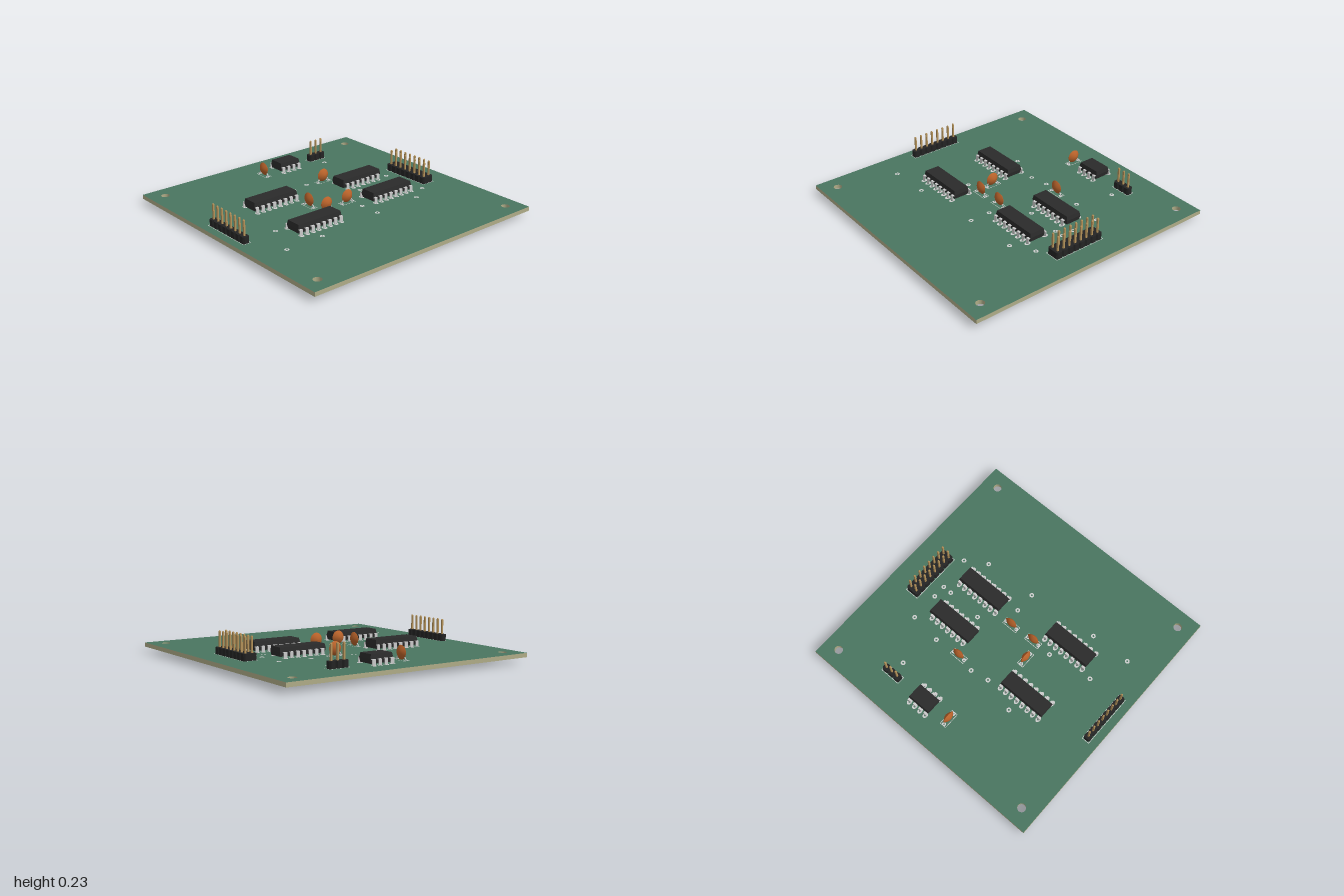
import * as THREE from 'three';
import { mergeGeometries } from 'three/addons/utils/BufferGeometryUtils.js';

const BOTTOM = 0.037, TOP = 0.068, PITCH = 0.0508;
const mat = (color, extra = {}) => new THREE.MeshStandardMaterial({ color, ...extra });
const green = mat(0x4a7560), edge = mat(0xb0ad88), black = mat(0x2b2b2b, { flatShading: true });
const housing = mat(0x242424), gold = mat(0xb5935a), orange = mat(0xb8622a);
const metal = mat(0xcccccc), print = mat(0xcccccc, { side: THREE.DoubleSide });

function add(parent, name, geometry, material) {
  const mesh = new THREE.Mesh(geometry, material);
  mesh.name = name;
  parent.add(mesh);
  return mesh;
}

function place(parent, name, x, z, turn = 0) {
  const group = new THREE.Group();
  group.name = name;
  group.position.set(x, 0, z);
  group.rotation.y = turn;
  parent.add(group);
  return group;
}

function box(w, h, d, x, y, z) {
  return new THREE.BoxGeometry(w, h, d).translate(x, y, z);
}

// Rectangle centred on the origin, with optional cut corners
function rectShape(w, d, cut = 0) {
  const a = w / 2, b = d / 2, c = cut;
  const points = c
    ? [[-a + c, -b], [a - c, -b], [a, -b + c], [a, b - c], [a - c, b], [-a + c, b], [-a, b - c], [-a, -b + c]]
    : [[-a, -b], [a, -b], [a, b], [-a, b]];
  return new THREE.Shape(points.map(([x, y]) => new THREE.Vector2(x, y)));
}

// Flat copper rings on both faces of the board
function pads(x, z, radius, hole, stretch = 1) {
  const ring = () => new THREE.RingGeometry(hole, radius, 20).scale(stretch, 1, 1);
  return [
    ring().rotateX(-Math.PI / 2).translate(x, TOP + 0.001, z),
    ring().rotateX(Math.PI / 2).translate(x, BOTTOM - 0.001, z),
  ];
}

// Thin printed rectangle around a component
function outline(parent, w, d) {
  const shape = rectShape(w, d);
  shape.holes.push(rectShape(w - 0.008, d - 0.008));
  const g = new THREE.ShapeGeometry(shape).rotateX(-Math.PI / 2).translate(0, TOP + 0.0012, 0);
  add(parent, 'printedOutline', g, print);
}

function addBoard(root) {
  const shape = rectShape(2, 2);
  for (const x of [-0.88, 0.88]) for (const y of [-0.88, 0.88]) {
    const hole = new THREE.Path();
    hole.absarc(x, y, 0.031, 0, Math.PI * 2, true);
    shape.holes.push(hole);
  }
  const g = new THREE.ExtrudeGeometry(shape, { depth: TOP - BOTTOM, bevelEnabled: false, curveSegments: 24 });
  add(root, 'board', g.rotateX(-Math.PI / 2).translate(0, BOTTOM, 0), [green, edge]);
}

// Dual in-line chip: tapered body and two rows of bent legs
function addChip(root, x, z, rows, length) {
  const chip = place(root, 'chip', x, z);
  const body = new THREE.BoxGeometry(0.126, 0.064, length, 1, 2, 1);
  const p = body.attributes.position;
  for (let i = 0; i < p.count; i++) {
    if (Math.abs(p.getY(i)) > 0.01) {
      p.setX(i, p.getX(i) - Math.sign(p.getX(i)) * 0.006);
      p.setZ(i, p.getZ(i) - Math.sign(p.getZ(i)) * 0.006);
    }
  }
  body.computeVertexNormals();
  add(chip, 'chipBody', body.translate(0, 0.111, 0), black);

  const legs = [], rings = [];
  for (let i = 0; i < rows; i++) {
    const pz = (i - (rows - 1) / 2) * PITCH;
    for (const s of [-1, 1]) {
      legs.push(
        box(0.022, 0.005, 0.026, s * 0.0685, 0.109, pz),
        box(0.005, 0.042, 0.026, s * 0.077, 0.0905, pz),
        box(0.005, 0.07, 0.01, s * 0.077, 0.035, pz));
      rings.push(...pads(s * 0.077, pz, 0.017, 0.007, 1.4));
    }
  }
  add(chip, 'chipLegs', mergeGeometries(legs), metal);
  add(chip, 'chipPads', mergeGeometries(rings), metal);
}

// Pin header: one notched block per column, with square pins through the board
function addHeader(root, x, z, columns, rows, turn = 0) {
  const header = place(root, 'pinHeader', x, z, turn);
  const blocks = [], pins = [], rings = [];
  const depth = rows * PITCH;
  for (let i = 0; i < columns; i++) {
    const px = (i - (columns - 1) / 2) * PITCH;
    const shape = rectShape(PITCH, depth, 0.01);
    const g = new THREE.ExtrudeGeometry(shape, { depth: 0.05, bevelEnabled: false });
    blocks.push(g.rotateX(-Math.PI / 2).translate(px, TOP, 0));
    for (let j = 0; j < rows; j++) {
      const pz = (j - (rows - 1) / 2) * PITCH;
      pins.push(box(0.0125, 0.215, 0.0125, px, 0.1205, pz));
      // Tapered tips at both ends
      for (const s of [-1, 1]) {
        const tip = new THREE.CylinderGeometry(s > 0 ? 0.004 : 0.0088, s > 0 ? 0.0088 : 0.004, 0.007, 4);
        pins.push(tip.rotateY(Math.PI / 4).translate(px, 0.1205 + s * 0.111, pz));
      }
      rings.push(...pads(px, pz, 0.017, 0.008));
    }
  }
  add(header, 'headerHousing', mergeGeometries(blocks), housing);
  add(header, 'headerPins', mergeGeometries(pins), gold);
  add(header, 'headerPads', mergeGeometries(rings), gold);
  outline(header, columns * PITCH + 0.012, depth + 0.012);
}

// Disc capacitor: lens-shaped body standing on two bent leads
function addCapacitor(root, x, z, turn) {
  const cap = place(root, 'capacitor', x, z, turn);
  const profile = [];
  for (let i = 0; i <= 16; i++) {
    const t = -1 + i / 8;
    profile.push(new THREE.Vector2(0.05 * (1 - t * t), 0.024 * t));
  }
  const body = new THREE.LatheGeometry(profile, 32);
  // Spread the profile into a lens with a sharp rim
  const p = body.attributes.position;
  for (let i = 0; i < p.count; i++) {
    const r = Math.min(1, Math.hypot(p.getX(i), p.getZ(i)) / 0.05);
    p.setY(i, Math.sign(p.getY(i)) * 0.024 * (1 - r * r));
  }
  body.computeVertexNormals();
  add(cap, 'capacitorBody', body.rotateX(Math.PI / 2).translate(0, 0.121, 0), orange);
  const leads = [], rings = [];
  for (const s of [-1, 1]) {
    const path = new THREE.CatmullRomCurve3([[0.03, 0.1], [0.047, 0.08], [0.05, 0.068], [0.05, 0.015]]
      .map(([a, y]) => new THREE.Vector3(s * a, y, 0)));
    leads.push(new THREE.TubeGeometry(path, 12, 0.004, 8));
    rings.push(...pads(s * 0.05, 0, 0.015, 0.006));
  }
  add(cap, 'capacitorLeads', mergeGeometries(leads), metal);
  add(cap, 'capacitorPads', mergeGeometries(rings), metal);
  outline(cap, 0.128, 0.054);
}

export function createModel() {
  const root = new THREE.Group();
  root.name = 'circuitBoard';
  addBoard(root);

  // x, z, legs per side, body length
  for (const c of [
    [-0.172, -0.38, 7, 0.376], [0.16, -0.382, 8, 0.384], [-0.248, 0.38, 8, 0.384],
    [0.246, 0.38, 8, 0.384], [-0.752, -0.145, 4, 0.186],
  ]) addChip(root, ...c);

  addHeader(root, 0, -0.778, 8, 2);
  addHeader(root, -0.018, 0.91, 8, 1);
  addHeader(root, -0.755, -0.457, 3, 1, Math.PI / 2);

  for (const [x, z, turned] of [
    [-0.34, -0.187, 1], [0.09, -0.055, 1], [0.1, 0.148, 1], [-0.04, 0.195, 0], [-0.74, 0.076, 0],
  ]) addCapacitor(root, x, z, turned * Math.PI / 2);

  // Loose wire pads
  const wires = [
    [-0.33, -0.635], [-0.11, -0.635], [-0.01, -0.635], [-0.01, -0.565], [0.25, -0.665], [0.35, -0.505],
    [-0.355, -0.395], [-0.025, -0.285], [-0.645, -0.457], [-0.365, -0.045], [0.21, -0.095], [0.37, -0.095],
    [-0.34, 0.095], [-0.41, 0.355], [0.1, 0.305], [0.42, 0.455], [0.15, 0.645], [0.43, 0.765],
  ];
  add(root, 'wirePads', mergeGeometries(wires.flatMap(([x, z]) => pads(x, z, 0.018, 0.007))), metal);
  return root;
}
